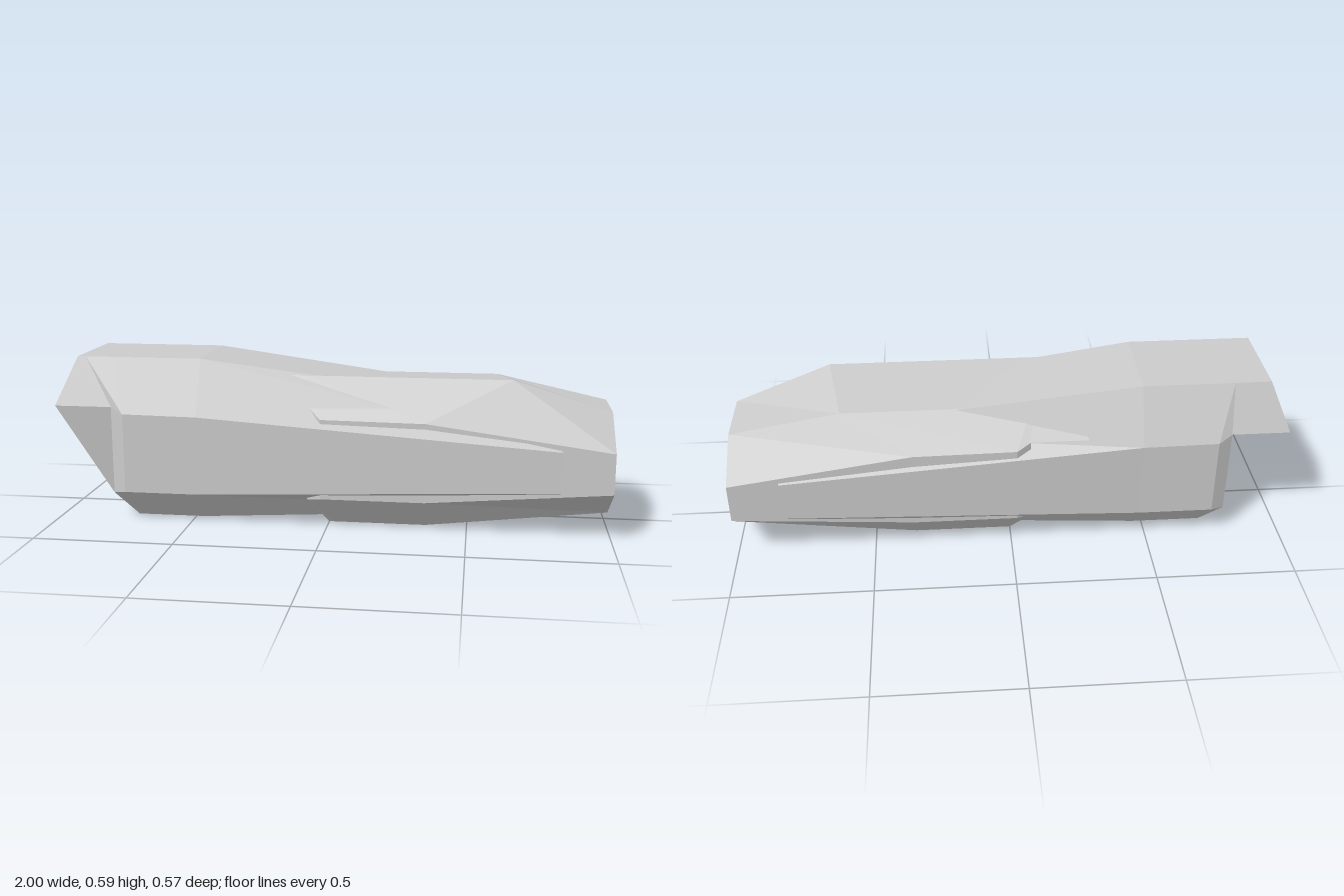
import * as THREE from 'three';

// One eight-sided hull, lofted from sections along x.
// Section corners run: top, upper side, lower side, bottom (+z), then back up the -z side.
function hull(name, sections, material) {
  const pos = [];
  const tri = (a, b, c) => pos.push(...a, ...b, ...c);
  const quad = (a, b, c, d) => { tri(a, b, c); tri(a, c, d); };
  const rings = sections.map(({ half, topBack }) => {
    const back = half.map(([x, y, z]) => [x, y, -z]).reverse();
    if (topBack) back[3] = topBack;
    return [...half, ...back];
  });

  // skin between neighbouring sections; the notch beside the nose stays open
  for (let i = 0; i < rings.length - 1; i++) {
    const p = rings[i], q = rings[i + 1];
    for (let j = 0; j < 8; j++) {
      if (i === 0 && (j === 1 || j === 5)) continue;
      const k = (j + 1) % 8;
      quad(p[j], p[k], q[k], q[j]);
    }
  }

  // overhanging nose
  const n = rings[0], m = rings[1];
  quad(n[0], n[7], n[6], n[1]);
  tri(n[1], n[6], m[6]);
  tri(n[1], m[6], n[2]);
  tri(m[6], n[5], n[2]);
  quad(n[2], n[5], n[4], n[3]);

  // flat end cap
  const e = rings[rings.length - 1];
  for (let j = 1; j < 7; j++) tri(e[0], e[j], e[j + 1]);

  const g = new THREE.BufferGeometry();
  g.setAttribute('position', new THREE.Float32BufferAttribute(pos, 3));
  g.computeVertexNormals();
  const mesh = new THREE.Mesh(g, material);
  mesh.name = name;
  return mesh;
}

// Sections of a hull whose nose tip is at x0
function hullSections(x0, topY, bodyX, endX, topEnd, backTop) {
  const back = (x) => backTop && [x, backTop[0], backTop[1]];
  return [
    { half: [[x0 + 0.07, topY, 0.166], [x0, 0.42, 0.235], [x0 + 0.21, 0.1, 0.235], [x0 + 0.28, 0, 0.166]], topBack: back(x0 + 0.07) },
    { half: [[x0 + 0.1, topY, 0.166], [x0 + 0.21, 0.42, 0.235], [x0 + 0.21, 0.1, 0.235], [x0 + 0.28, 0, 0.166]], topBack: back(x0 + 0.1) },
    { half: [[x0 + 0.2, topY, 0.166], [x0 + 0.26, 0.4, 0.261], [x0 + 0.26, 0.11, 0.261], [x0 + 0.3, 0, 0.166]], topBack: back(x0 + 0.2) },
    { half: [[topEnd, topY, 0.166], [bodyX, 0.396, 0.261], [bodyX, 0.11, 0.261], [bodyX, 0, 0.166]], topBack: back(topEnd - 0.05) },
    { half: [[endX, 0.426, 0.115], [endX, 0.315, 0.285], [endX, 0.17, 0.285], [endX, 0.058, 0.115]] },
  ];
}

export function createModel() {
  const group = new THREE.Group();
  group.name = 'facetedBody';
  const material = new THREE.MeshStandardMaterial({ color: 0xcccccc, flatShading: true, side: THREE.DoubleSide });
  // long hull with the exposed nose
  group.add(hull('mainHull', hullSections(-1, 0.593, -0.47, 0.82, -0.47), material));
  // second hull, sunk into the first, with its top tilted towards the back
  group.add(hull('forwardHull', hullSections(-0.28, 0.541, 0.35, 1, 0.65, [0.51, -0.137]), material));
  return group;
}
